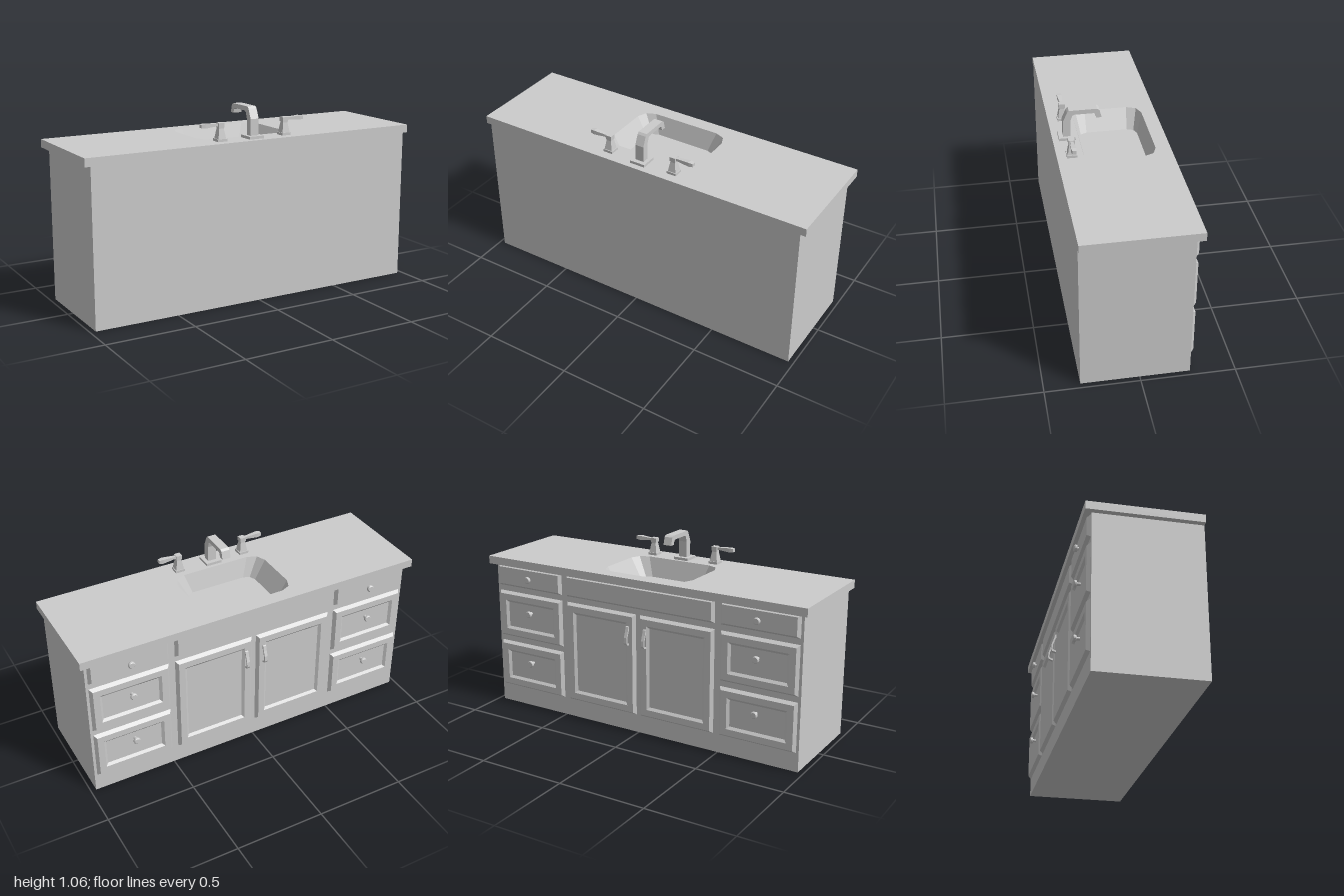
import * as THREE from 'three';

const material = new THREE.MeshStandardMaterial({ color: 0xcccccc, flatShading: true });
const smooth = new THREE.MeshStandardMaterial({ color: 0xcccccc });

function add(parent, name, geometry, x = 0, y = 0, z = 0, mat = material) {
  const mesh = new THREE.Mesh(geometry, mat);
  mesh.name = name;
  mesh.position.set(x, y, z);
  parent.add(mesh);
  return mesh;
}

// Skin between equal-length rings (counter-clockwise seen from +z), capping the last
function loft(rings) {
  const n = rings[0].length, pos = [];
  const tri = (...pts) => pts.forEach(p => pos.push(...p));
  for (let r = 0; r < rings.length - 1; r++) {
    for (let i = 0; i < n; i++) {
      const j = (i + 1) % n, a = rings[r], b = rings[r + 1];
      tri(a[i], a[j], b[j]);
      tri(a[i], b[j], b[i]);
    }
  }
  const cap = rings[rings.length - 1];
  for (let i = 1; i < n - 1; i++) tri(cap[0], cap[i], cap[i + 1]);
  const geometry = new THREE.BufferGeometry();
  geometry.setAttribute('position', new THREE.Float32BufferAttribute(pos, 3));
  geometry.computeVertexNormals();
  return geometry;
}

const rectRing = (hw, hh, z) => [[-hw, -hh, z], [hw, -hh, z], [hw, hh, z], [-hw, hh, z]];

// Bevelled cabinet front, optionally with a sunken centre
function panel(parent, name, x0, x1, y0, y1, sunken) {
  const w = (x1 - x0) / 2, h = (y1 - y0) / 2;
  const steps = [[0, 0], [0.014, 0.019]];
  if (sunken) steps.push([0.05, 0.019], [0.064, 0.007]);
  const geometry = loft(steps.map(([inset, z]) => rectRing(w - inset, h - inset, z)));
  add(parent, name, geometry, (x0 + x1) / 2, (y0 + y1) / 2, -0.265).rotation.y = Math.PI;
}

// Rectangle with two-step chamfered corners
function basinRing(hw, y0, y1, c, z) {
  const cx = hw - c, ring = [];
  [[1, y0 + c, -90], [1, y1 - c, 0], [-1, y1 - c, 90], [-1, y0 + c, 180]].forEach(([s, cy, start]) => {
    for (let k = 0; k <= 2; k++) {
      const a = THREE.MathUtils.degToRad(start + k * 45);
      ring.push([s * cx + c * Math.cos(a), cy + c * Math.sin(a), z]);
    }
  });
  return ring;
}

// Side profile given as [z, y], extruded across x about the centre
function sideExtrude(points, width) {
  const shape = new THREE.Shape(points.map(([z, y]) => new THREE.Vector2(-z, y)));
  const geometry = new THREE.ExtrudeGeometry(shape, { depth: width, bevelEnabled: false });
  return geometry.translate(0, 0, -width / 2).rotateY(Math.PI / 2);
}

export function createModel() {
  const model = new THREE.Group();
  model.name = 'vanity';

  // Cabinet carcass, open at the top to make room for the basin
  const bodyGeometry = new THREE.BoxGeometry(1.94, 0.85, 0.575);
  const index = Array.from(bodyGeometry.index.array);
  index.splice(12, 6);
  bodyGeometry.setIndex(index);
  bodyGeometry.clearGroups();
  add(model, 'cabinetBody', bodyGeometry, 0, 0.425, 0.0225);

  // Countertop with the basin opening
  const rim = basinRing(0.272, -0.167, 0.222, 0.075, 0);
  const top = new THREE.Shape([[-1, -0.31], [1, -0.31], [1, 0.302], [-1, 0.302]].map(p => new THREE.Vector2(...p)));
  top.holes.push(new THREE.Path(rim.map(([x, y]) => new THREE.Vector2(x, y))));
  const topGeometry = new THREE.ExtrudeGeometry(top, { depth: 0.045, bevelEnabled: false });
  add(model, 'countertop', topGeometry, 0, 0.85, 0).rotation.x = -Math.PI / 2;

  // Basin sloping down to its floor
  const basin = loft([rim, basinRing(0.21, -0.14, 0.192, 0.05, -0.11)]);
  add(model, 'basin', basin, 0, 0.895, 0).rotation.x = -Math.PI / 2;

  // Cabinet fronts
  panel(model, 'falseFront', -0.472, 0.472, 0.722, 0.85, false);
  const knobProfile = [[0, 0], [0.009, 0], [0.009, 0.008], [0.017, 0.008], [0.019, 0.011],
    [0.019, 0.02], [0.015, 0.024], [0, 0.024]].map(p => new THREE.Vector2(...p));
  const knobGeometry = new THREE.LatheGeometry(knobProfile, 16).rotateX(-Math.PI / 2);
  const pullGeometry = sideExtrude([[-0.282, 0.622], [-0.29, 0.618], [-0.298, 0.59], [-0.309, 0.56],
    [-0.311, 0.53], [-0.305, 0.518], [-0.282, 0.511], [-0.282, 0.521], [-0.298, 0.526], [-0.303, 0.534],
    [-0.301, 0.557], [-0.291, 0.585], [-0.282, 0.605]], 0.018);

  for (const s of [1, -1]) {
    const span = (a, b) => s > 0 ? [a, b] : [-b, -a];
    panel(model, 'door', ...span(0.013, 0.472), 0.105, 0.69, true);
    add(model, 'doorPull', pullGeometry, s * 0.055, 0, 0);
    [[0.722, 0.85, false, 0.785, -0.284], [0.415, 0.69, true, 0.58, -0.284], [0.105, 0.383, true, 0.277, -0.284]]
      .forEach(([y0, y1, sunken, knobY, knobZ]) => {
        panel(model, 'drawerFront', ...span(0.508, 0.955), y0, y1, sunken);
        const knob = add(model, 'drawerKnob', knobGeometry, s * 0.727, knobY, knobZ);
        // Longer stem reaching into the sunken drawers
        if (sunken) add(knob, 'knobStem', new THREE.CylinderGeometry(0.009, 0.009, 0.02, 12).rotateX(Math.PI / 2), 0, 0, 0.006, smooth);
      });

    // Tap handle: plate, tapered post, head and flared lever
    const tap = new THREE.Group();
    tap.name = 'tapHandle';
    tap.position.set(s * 0.2, 0.895, 0.23);
    if (s < 0) tap.rotation.y = Math.PI;
    model.add(tap);
    add(tap, 'tapPlate', new THREE.BoxGeometry(0.055, 0.014, 0.055), 0, 0.007, 0);
    const post = loft([rectRing(0.023, 0.023, 0.014), rectRing(0.014, 0.014, 0.068), rectRing(0.014, 0.014, 0.076)]);
    add(tap, 'tapPost', post.rotateX(-Math.PI / 2));
    add(tap, 'tapHead', new THREE.BoxGeometry(0.034, 0.024, 0.034), 0, 0.086, 0);
    const lever = loft([rectRing(0.008, 0.007, 0), rectRing(0.009, 0.007, 0.03),
      rectRing(0.014, 0.012, 0.095), rectRing(0.011, 0.009, 0.118)]);
    add(tap, 'tapLever', lever.rotateY(Math.PI / 2), 0, 0.088, 0);
  }

  // Spout on its square plate
  add(model, 'spoutPlate', new THREE.BoxGeometry(0.09, 0.015, 0.09), 0, 0.9025, 0.231);
  add(model, 'spout', sideExtrude([[0.251, 0.905], [0.251, 1.0], [0.228, 1.053], [0.218, 1.064], [0.065, 1.064],
    [0.052, 1.055], [0.04, 1.011], [0.07, 1.011], [0.074, 1.032], [0.083, 1.039], [0.188, 1.039],
    [0.2, 1.032], [0.211, 1.0], [0.211, 0.905]], 0.05));

  return model;
}
